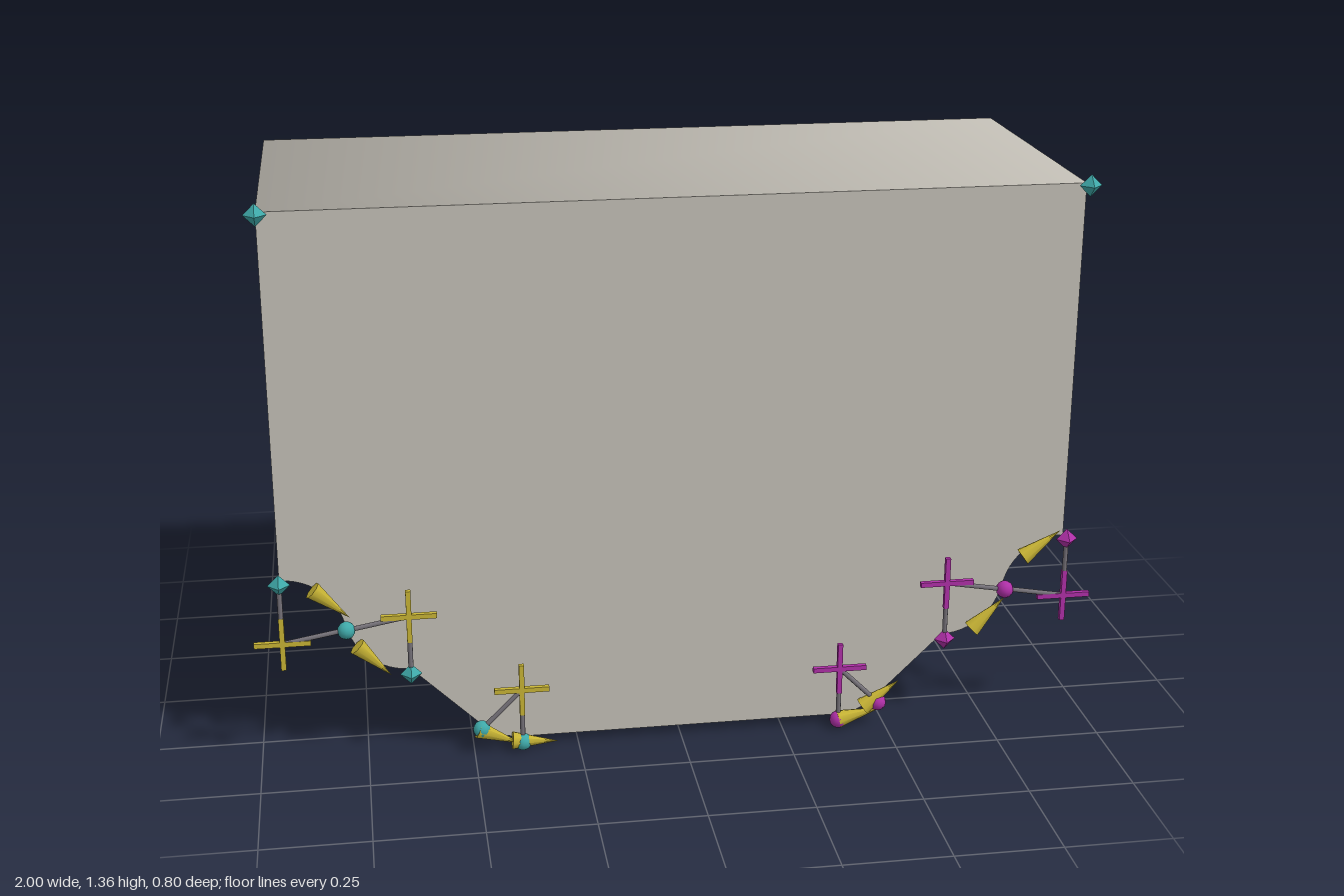
import * as THREE from 'three';

const mat = (name, hex) => {
  const m = new THREE.MeshStandardMaterial({ color: hex });
  m.name = name;
  return m;
};

// Corner curves of the right half: centre, radius, start and end angle in degrees
const ARCS = [
  { c: [0.385, 0.172], r: 0.137, from: -90, to: -45 },
  { c: [0.643, 0.38], r: 0.147, from: -90, to: -10 },
  { c: [0.935, 0.33], r: 0.147, from: 170, to: 90 },
];
const TOP = 1.345, FRONT = 0.35, BACK = -0.4, MARK_Z = 0.377;

const onArc = ({ c, r }, deg) => {
  const a = THREE.MathUtils.degToRad(deg);
  return new THREE.Vector2(c[0] + r * Math.cos(a), c[1] + r * Math.sin(a));
};

// Closed outline, counter-clockwise seen from the front
function outline() {
  const half = [];
  for (const arc of ARCS) {
    for (let i = 0; i <= 12; i++) {
      const p = onArc(arc, arc.from + (arc.to - arc.from) * i / 12);
      if (!half.length || half[half.length - 1].distanceTo(p) > 0.006) half.push(p);
    }
  }
  half.push(new THREE.Vector2(0.935, TOP));
  const mirrored = half.map(p => new THREE.Vector2(-p.x, p.y)).reverse();
  return [...half, ...mirrored];
}

// Wall swept along z, with normals blended smoothly around the outline
function wallGeometry(pts) {
  const n = pts.length, pos = [], nor = [], idx = [];
  const edgeNormal = i => {
    const a = pts[(i + n) % n], b = pts[(i + 1) % n];
    return new THREE.Vector2(b.y - a.y, a.x - b.x).normalize();
  };
  pts.forEach((p, i) => {
    const m = edgeNormal(i - 1).add(edgeNormal(i)).normalize();
    pos.push(p.x, p.y, BACK, p.x, p.y, FRONT);
    nor.push(m.x, m.y, 0, m.x, m.y, 0);
    const a = 2 * i, b = 2 * ((i + 1) % n);
    idx.push(a, b, b + 1, a, b + 1, a + 1);
  });
  const g = new THREE.BufferGeometry();
  g.setAttribute('position', new THREE.Float32BufferAttribute(pos, 3));
  g.setAttribute('normal', new THREE.Float32BufferAttribute(nor, 3));
  g.setIndex(idx);
  return g;
}

export function createModel() {
  const model = new THREE.Group();
  const stone = mat('warm grey', 0xc4c0b7);
  const teal = mat('teal', 0x3fa9a9);
  const magenta = mat('magenta', 0xb030a8);
  const gold = mat('gold', 0xc9b535);
  const grey = mat('rod grey', 0x77737a);

  const add = (name, geo, material, x = 0, y = 0, z = 0) => {
    const mesh = new THREE.Mesh(geo, material);
    mesh.name = name;
    mesh.position.set(x, y, z);
    model.add(mesh);
    return mesh;
  };

  // Body: smooth wall with flat front and back faces
  const pts = outline();
  const cap = new THREE.ShapeGeometry(new THREE.Shape(pts));
  add('bodyWall', wallGeometry(pts), stone);
  add('bodyFront', cap, stone, 0, 0, FRONT);
  add('bodyBack', cap, stone, 0, 0, BACK).rotation.y = Math.PI;

  // Shared marker shapes
  const diamond = new THREE.OctahedronGeometry(0.026);
  const ball = new THREE.SphereGeometry(0.021, 12, 8);
  const barX = new THREE.BoxGeometry(0.13, 0.012, 0.012);
  const barY = new THREE.BoxGeometry(0.012, 0.13, 0.012);
  const cone = new THREE.ConeGeometry(0.022, 0.11, 8);
  cone.translate(0, 0.055, 0);

  // Straight rod between two points of the marker plane
  const rod = (x1, y1, x2, y2) => {
    const len = Math.hypot(x2 - x1, y2 - y1);
    const m = add('radiusRod', new THREE.CylinderGeometry(0.006, 0.006, len, 8), grey,
      (x1 + x2) / 2, (y1 + y2) / 2, MARK_Z);
    m.rotation.z = Math.atan2(y2 - y1, x2 - x1) - Math.PI / 2;
  };

  for (const side of [-1, 1]) {
    const colour = side < 0 ? teal : magenta;
    add('topCornerMarker', diamond, teal, side * 0.935, TOP, MARK_Z);
    add('upperCornerMarker', diamond, colour, side * 0.935, 0.477, MARK_Z);
    add('lowerCornerMarker', diamond, colour, side * 0.643, 0.233, MARK_Z);

    for (const arc of ARCS) {
      // Crosses at the curve centres, with rods to both curve ends
      const x = side * arc.c[0], y = arc.c[1];
      const crossColour = side < 0 ? gold : magenta;
      add('centreCrossBar', barX, crossColour, x, y, MARK_Z);
      add('centreCrossPost', barY, crossColour, x, y, MARK_Z);
      for (const deg of [arc.from, arc.to]) {
        const p = onArc(arc, deg);
        rod(x, y, side * p.x, p.y);
      }
    }

    // Balls where curves begin and end
    for (const p of [onArc(ARCS[0], -90), onArc(ARCS[0], -45), onArc(ARCS[1], -10)]) {
      add('curveMarker', ball, colour, side * p.x, p.y, MARK_Z);
    }
  }

  // Arrows following the outline from left to right: base x, y and heading in degrees
  const arrows = [
    [-0.86, 0.46, -42], [-0.765, 0.312, -46], [-0.49, 0.075, -24], [-0.41, 0.04, -5],
    [0.385, 0.036, 12], [0.445, 0.065, 36], [0.71, 0.255, 45], [0.828, 0.437, 35],
  ];
  for (const [x, y, deg] of arrows) {
    add('directionArrow', cone, gold, x, y, MARK_Z).rotation.z = THREE.MathUtils.degToRad(deg - 90);
  }

  return model;
}
